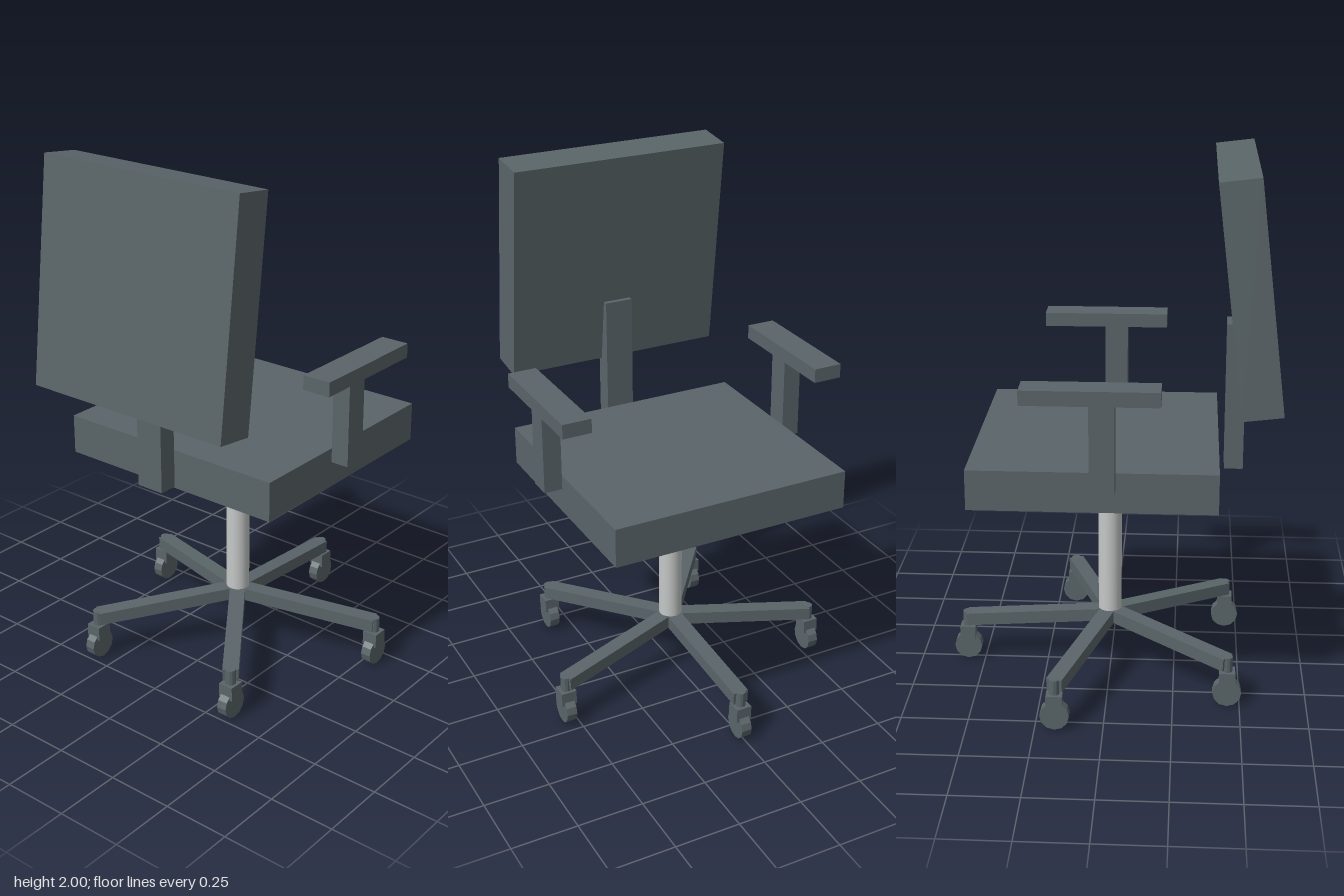
import * as THREE from 'three';

export function createModel() {
  const chair = new THREE.Group();
  chair.name = 'officeChair';

  const slate = new THREE.MeshStandardMaterial({ color: 0x5a6569, flatShading: true });
  slate.name = 'slate grey';
  const steel = new THREE.MeshStandardMaterial({ color: 0xc4c8c6 });
  steel.name = 'light steel';

  const add = (parent, name, geometry, material, x, y, z) => {
    const mesh = new THREE.Mesh(geometry, material);
    mesh.name = name;
    mesh.position.set(x, y, z);
    parent.add(mesh);
    return mesh;
  };
  const box = (parent, name, w, h, d, x, y, z) =>
    add(parent, name, new THREE.BoxGeometry(w, h, d), slate, x, y, z);

  const CZ = -0.003; // axis of the column

  // Seat and its mounting plate
  box(chair, 'seat', 0.93, 0.15, 0.895, 0, 0.895, -0.043);
  box(chair, 'seatPlate', 0.56, 0.04, 0.56, 0, 0.80, CZ);

  // Backrest, tilted, on an upright bar
  box(chair, 'backrestBar', 0.11, 0.56, 0.07, 0, 1.12, 0.463);
  box(chair, 'backrest', 0.858, 0.834, 0.146, 0, 1.5775, 0.5).rotation.x = -0.12;

  // Armrests
  for (const side of [-1, 1]) {
    const arm = new THREE.Group();
    arm.name = side > 0 ? 'leftArmrest' : 'rightArmrest';
    box(arm, 'armPost', 0.07, 0.33, 0.09, side * 0.502, 1.082, CZ);
    box(arm, 'armPad', 0.11, 0.054, 0.485, side * 0.505, 1.271, -0.043);
    chair.add(arm);
  }

  // Gas column
  add(chair, 'column', new THREE.CylinderGeometry(0.045, 0.045, 0.58, 32), steel, 0, 0.49, CZ);

  // Five-spoke base; the casters all face the same way
  const wheelGeometry = new THREE.CylinderGeometry(0.054, 0.054, 0.04, 12).rotateZ(Math.PI / 2);
  const stemGeometry = new THREE.CylinderGeometry(0.02, 0.02, 0.065, 12);
  const R = 0.563;
  for (let i = 0; i < 5; i++) {
    const a = (i * Math.PI * 2) / 5;

    const spoke = new THREE.Group();
    spoke.name = 'spoke';
    spoke.position.z = CZ;
    spoke.rotation.y = -a;
    box(spoke, 'leg', 0.06, 0.05, 0.565, 0, 0.19, -0.282).rotation.x = -0.066;
    chair.add(spoke);

    const caster = new THREE.Group();
    caster.name = 'caster';
    caster.position.set(Math.sin(a) * R, 0, CZ - Math.cos(a) * R);
    add(caster, 'casterStem', stemGeometry, slate, 0, 0.165, 0);
    box(caster, 'casterBlock', 0.06, 0.055, 0.06, 0, 0.112, 0);
    add(caster, 'casterWheel', wheelGeometry, slate, 0, 0.054, 0);
    chair.add(caster);
  }

  return chair;
}
